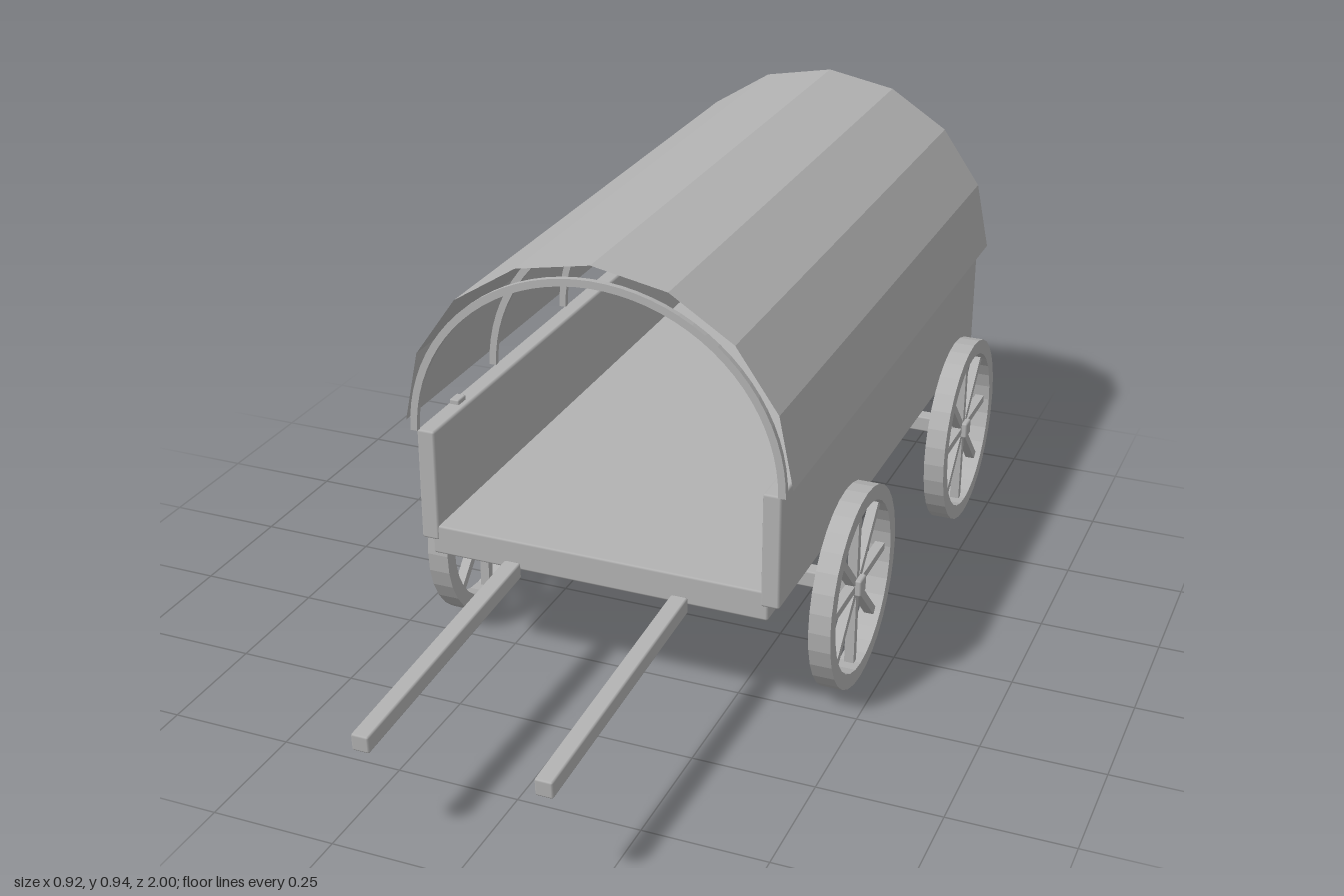
import * as THREE from 'three';
import { RoundedBoxGeometry } from 'three/addons/geometries/RoundedBoxGeometry.js';

export function createModel() {
  const wagon = new THREE.Group();
  wagon.name = 'coveredWagon';
  const grey = new THREE.MeshStandardMaterial({ color: 0xb2b2b2, side: THREE.DoubleSide });
  grey.name = 'plain grey';

  const add = (name, geometry, parent = wagon) => {
    const mesh = new THREE.Mesh(geometry, grey);
    mesh.name = name;
    parent.add(mesh);
    return mesh;
  };
  // Chamfered box given by its limits on each axis
  const beam = (name, [x0, x1], [y0, y1], [z0, z1], bevel = 0.005) => {
    const mesh = add(name, new RoundedBoxGeometry(x1 - x0, y1 - y0, z1 - z0, 1, bevel));
    mesh.position.set((x0 + x1) / 2, (y0 + y1) / 2, (z0 + z1) / 2);
    return mesh;
  };

  // Wagon bed
  beam('underFloor', [-0.357, 0.357], [0.264, 0.305], [-0.975, 0.385]);
  beam('floor', [-0.375, 0.375], [0.295, 0.327], [-0.975, 0.385]);
  beam('tailgate', [-0.37, 0.37], [0.302, 0.535], [-1, -0.97]);
  for (const side of [-1, 1]) {
    const span = (a, b) => (side > 0 ? [a, b] : [-b, -a]);
    beam('sideWall', span(0.342, 0.38), [0.295, 0.535], [-0.975, 0.387]);
    for (const z of [0.24, -0.83]) {
      beam('wallCleat', span(0.355, 0.376), [0.525, 0.545], [z - 0.016, z + 0.016], 0.003);
    }
    // Pulling shafts, sloping down to the front
    const shaft = add('shaft', new RoundedBoxGeometry(0.035, 0.035, 0.612, 1, 0.004));
    shaft.position.set(side * 0.178, 0.249, 0.693);
    shaft.rotation.x = 0.057;
  }

  // Bent hoops under the cover
  const hoopShape = new THREE.Shape();
  hoopShape.absellipse(0, 0, 0.39, 0.372, 0, Math.PI, false);
  hoopShape.lineTo(-0.375, 0);
  hoopShape.absellipse(0, 0, 0.375, 0.357, Math.PI, 0, true);
  const hoopGeometry = new THREE.ExtrudeGeometry(hoopShape, { depth: 0.012, bevelEnabled: false, curveSegments: 20 });
  for (let i = 0; i < 5; i++) {
    add('hoop', hoopGeometry).position.set(0, 0.535, 0.381 - i * 0.3435);
  }

  // Faceted cover, open at both ends
  const coverGeometry = new THREE.CylinderGeometry(1, 1, 1.365, 8, 1, true, Math.PI / 2, Math.PI)
    .rotateX(Math.PI / 2).scale(0.402, 0.383, 1).toNonIndexed();
  coverGeometry.computeVertexNormals();
  add('cover', coverGeometry).position.set(0, 0.552, -0.296);

  // Spoked wheels on square axles
  const rimShape = new THREE.Shape().absarc(0, 0, 0.21, 0, Math.PI * 2, false);
  rimShape.holes.push(new THREE.Path().absarc(0, 0, 0.178, 0, Math.PI * 2, true));
  const rimGeometry = new THREE.ExtrudeGeometry(rimShape, { depth: 0.045, bevelEnabled: false, curveSegments: 16 })
    .translate(0, 0, -0.0225).rotateY(Math.PI / 2);
  const spokeGeometry = new THREE.BoxGeometry(0.02, 0.375, 0.017);
  for (const z of [0.097, -0.69]) {
    beam('axle', [-0.459, 0.457], [0.194, 0.23], [z - 0.018, z + 0.018], 0.004);
    for (const x of [-0.392, 0.435]) {
      const wheel = new THREE.Group();
      wheel.name = 'wheel';
      wheel.position.set(x, 0.21, z);
      wagon.add(wheel);
      add('rim', rimGeometry, wheel);
      for (let i = 0; i < 4; i++) add('spokePair', spokeGeometry, wheel).rotation.x = i * Math.PI / 4;
    }
  }
  return wagon;
}
